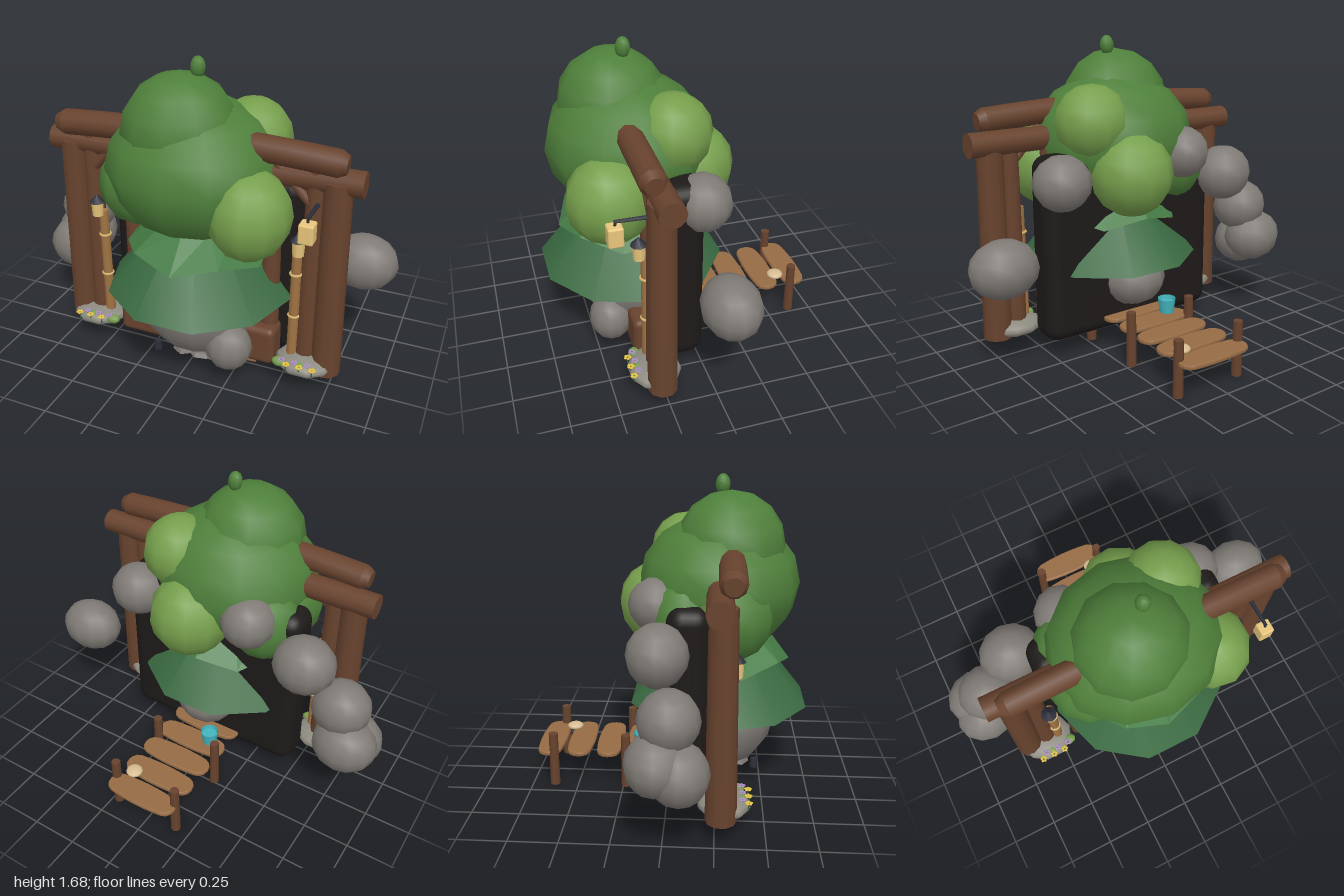
import * as THREE from 'three';
import { RoundedBoxGeometry } from 'three/addons/geometries/RoundedBoxGeometry.js';

const C = {
  wood: 0x68432e, plank: 0x966b45, bamboo: 0xa07444, ring: 0xd6b56f, rock: 0x7f7a75, paleRock: 0x8d8a80,
  dark: 0x1d1a18, leaf: 0x4f803b, lime: 0x769f4c, skirt: 0x3b6b42, collar: 0x467c46,
  glow: 0xe8c67c, iron: 0x2c2f3a, teal: 0x45b5c0, cream: 0xd8bd93, yellow: 0xe0c040, violet: 0xa58bb8,
};
const mats = {};
const mat = (name, flat = false) => (mats[name + flat] ??= new THREE.MeshStandardMaterial({
  color: C[name], flatShading: flat, side: THREE.DoubleSide }));
const CX = 0.025; // mirror axis of the frame

export function createModel() {
  const root = new THREE.Group();
  const add = (name, geo, color, pos = [0, 0, 0], flat = false) => {
    const m = new THREE.Mesh(geo, mat(color, flat));
    m.name = name;
    m.position.set(...pos);
    root.add(m);
    return m;
  };
  const blob = (name, color, pos, r, segs = 11) => {
    const m = add(name, new THREE.SphereGeometry(1, segs, 8), color, pos);
    m.scale.set(...r);
    return m;
  };
  // Tapered log between two points
  const log = (name, color, a, b, r0, r1 = r0, sides = 10) => {
    const A = new THREE.Vector3(...a), B = new THREE.Vector3(...b), d = B.clone().sub(A);
    const m = add(name, new THREE.CylinderGeometry(r1, r0, d.length(), sides), color,
      A.clone().add(B).multiplyScalar(0.5).toArray());
    m.quaternion.setFromUnitVectors(new THREE.Vector3(0, 1, 0), d.normalize());
    return m;
  };

  // Dark hollow behind the tree
  add('caveWall', new RoundedBoxGeometry(1.06, 1.0, 0.22, 3, 0.08), 'dark', [CX, 0.6, 0.11]);

  // Tree body: boulders, leafy skirts and crown
  blob('bodyBoulder', 'rock', [0.03, 0.385, 0.26], [0.335, 0.31, 0.31], 14);
  blob('rearBoulder', 'rock', [0.03, 0.38, 0.02], [0.18, 0.15, 0.18]);
  blob('footBoulder', 'rock', [0.255, 0.225, 0.43], [0.122, 0.128, 0.115]);

  const skirt = new THREE.ConeGeometry(0.49, 0.62, 10);
  skirt.rotateY(Math.PI / 2);
  add('leafSkirt', skirt, 'skirt', [0.03, 0.78, 0.26]);

  const collar = new THREE.CylinderGeometry(0.22, 0.38, 0.15, 10, 1);
  const p = collar.attributes.position;
  for (let i = 0; i < p.count; i++) {
    if (p.getY(i) > 0 || Math.hypot(p.getX(i), p.getZ(i)) < 0.1) continue;
    const k = Math.round(Math.atan2(p.getX(i), p.getZ(i)) / (Math.PI / 5));
    p.setY(i, p.getY(i) + (k % 2 ? 0.03 : -0.02));
  }
  add('leafCollar', collar, 'collar', [0.03, 0.79, 0.26], true);

  blob('crown', 'leaf', [0, 1.125, 0.255], [0.455, 0.365, 0.42], 12);
  blob('crownCap', 'leaf', [-0.05, 1.32, 0.31], [0.295, 0.285, 0.285], 11);
  blob('crownLobeLeft', 'lime', [0.352, 0.995, 0.425], [0.205, 0.225, 0.22]);
  blob('crownLobeRight', 'leaf', [-0.28, 1.01, 0.3], [0.21, 0.225, 0.23]);
  blob('crownLobeHigh', 'lime', [0.24, 1.25, 0.08], [0.2, 0.2, 0.2]);
  blob('crownLobeBack', 'lime', [0.09, 0.985, -0.06], [0.22, 0.225, 0.225]);
  blob('crownLobeBackRight', 'leaf', [-0.27, 0.99, 0.09], [0.2, 0.22, 0.19]);
  blob('crownBud', 'leaf', [0.025, 1.625, 0.265], [0.038, 0.053, 0.038], 8);

  // Boulders around the back
  [
    [0.82, 0.605, -0.03, 0.18, 0.148, 0.147], [0.47, 0.975, 0, 0.155, 0.145, 0.147],
    [-0.25, 1.06, -0.05, 0.145, 0.14, 0.15], [-0.565, 0.9, -0.03, 0.168, 0.155, 0.152],
    [-0.765, 0.66, 0.035, 0.16, 0.15, 0.15], [-0.825, 0.475, -0.02, 0.175, 0.15, 0.15],
    [-0.83, 0.43, 0.085, 0.165, 0.15, 0.145],
  ].forEach(([x, y, z, ...r]) => blob('backBoulder', 'rock', [x, y, z], r, 12));

  // Timber gate: beams, sill and mirrored posts
  log('lowerBeam', 'wood', [-0.8, 1.165, 0.26], [0.85, 1.165, 0.26], 0.065, 0.065, 12);
  const arch = new THREE.QuadraticBezierCurve3(new THREE.Vector3(-0.69, 1.275, 0.315),
    new THREE.Vector3(CX, 1.325, 0.315), new THREE.Vector3(0.735, 1.275, 0.315));
  add('upperBeam', new THREE.TubeGeometry(arch, 12, 0.066, 10), 'wood');
  for (const t of [0, 1]) {
    const s = t ? 1 : -1;
    const e = arch.getPoint(t);
    log('upperBeamEnd', 'wood', e.toArray(), [e.x + s * 0.04, e.y - 0.003, e.z], 0.066, 0.045);
  }
  add('sillLog', new RoundedBoxGeometry(0.89, 0.215, 0.15, 3, 0.035), 'wood', [CX, 0.205, 0.28]);

  for (const s of [-1, 1]) {
    const X = (d) => CX + s * d;
    log('outerPost', 'wood', [X(0.705), 0.11, 0.28], [X(0.705), 1.17, 0.275], 0.077, 0.068);
    log('secondPost', 'wood', [X(0.595), 0.12, 0.28], [X(0.6), 1.22, 0.27], 0.056, 0.046);
    log('innerPost', 'wood', [X(0.385), 0.15, 0.25], [X(0.385), 1.15, 0.25], 0.05, 0.045);
    log('brace', 'wood', [X(0.58), 1.04, 0.29], [X(0.41), 1.22, 0.29], 0.024, 0.024, 8);

    // Bamboo pole with rings
    log('bambooPole', 'bamboo', [X(0.53), 0.15, 0.31], [X(0.535), 0.8, 0.31], 0.028, 0.025, 8);
    for (const y of [0.42, 0.66]) {
      const ring = add('bambooRing', new THREE.TorusGeometry(0.028, 0.007, 6, 12), 'ring', [X(0.533), y, 0.31]);
      ring.rotation.x = Math.PI / 2;
    }
    // Lantern on the pole
    add('poleLantern', new THREE.CylinderGeometry(0.033, 0.029, 0.08, 8), 'glow', [X(0.548), 0.825, 0.345]);
    add('poleLanternRoof', new THREE.ConeGeometry(0.042, 0.045, 8), 'iron', [X(0.548), 0.885, 0.345]);

    // Footing stone with flowers and tufts
    blob('footingStone', 'paleRock', [X(0.6), 0.15, 0.295], [0.155, 0.052, 0.135], 10);
    for (let i = 0; i < 6; i++) {
      const fx = X(0.5 + 0.034 * i), fz = 0.385 + 0.03 * (i % 2);
      const bloom = i % 2 ? 'yellow' : 'violet';
      log('flowerStem', 'skirt', [fx, 0.15, fz], [fx, 0.185, fz], 0.004, 0.004, 5);
      for (let k = 0; k < 5; k++) {
        const a = k * Math.PI * 0.4;
        blob('petal', bloom, [fx + 0.012 * Math.cos(a), 0.187, fz + 0.012 * Math.sin(a)], [0.009, 0.005, 0.009], 6);
      }
    }
    blob('grassTuft', 'lime', [X(0.485), 0.16, 0.37], [0.04, 0.025, 0.03], 8);
    blob('grassTuft', 'lime', [X(0.6), 0.175, 0.38], [0.025, 0.016, 0.025], 8);
  }

  // Lantern hanging from a bracket on the left post
  log('lanternArm', 'iron', [0.645, 1.05, 0.28], [0.645, 1.055, 0.47], 0.012, 0.009, 6);
  log('lanternHook', 'iron', [0.645, 1.055, 0.465], [0.645, 1.02, 0.47], 0.007, 0.007, 6);
  add('hangingLantern', new RoundedBoxGeometry(0.073, 0.1, 0.073, 2, 0.01), 'glow', [0.645, 0.985, 0.47]);

  // Flat stones and threshold at the foot of the boulder
  for (let i = 0; i < 6; i++) {
    const slab = add('slab', new THREE.CylinderGeometry(0.06, 0.07, 0.022, 6), 'rock',
      [-0.06 + 0.045 * i, 0.1 + 0.012 * (i % 3), 0.31 + 0.06 * (i % 2)], true);
    slab.rotation.set(0.15 * (i % 3 - 1), i, 0.2 * (i % 2) - 0.1);
  }
  const threshold = add('threshold', new THREE.BoxGeometry(0.32, 0.016, 0.07), 'plank', [0.21, 0.085, 0.3]);
  threshold.rotation.z = 0.06;
  add('smallLamp', new THREE.CylinderGeometry(0.018, 0.022, 0.05, 6), 'iron', [-0.135, 0.145, 0.46]);

  // Walkway at the back: rounded planks on posts
  for (let i = 0; i < 5; i++) {
    const w = 0.21, h = 0.073, shape = new THREE.Shape();
    shape.moveTo(-w + 0.05, -h * 0.85);
    shape.quadraticCurveTo(0, -h * 1.15, w - 0.05, -h * 0.85);
    shape.bezierCurveTo(w + 0.015, -h * 0.7, w + 0.015, h * 0.7, w - 0.05, h * 0.85);
    shape.quadraticCurveTo(0, h * 1.15, -w + 0.05, h * 0.85);
    shape.bezierCurveTo(-w - 0.015, h * 0.7, -w - 0.015, -h * 0.7, -w + 0.05, -h * 0.85);
    const geo = new THREE.ExtrudeGeometry(shape, { depth: 0.01, bevelThickness: 0.008, bevelSize: 0.008,
      bevelOffset: -0.008, bevelSegments: 2, curveSegments: 6 });
    geo.rotateX(-Math.PI / 2);
    add('walkwayPlank', geo, 'plank', [CX, 0.178, -0.662 + 0.163 * i]);
  }
  for (const x of [-0.165, 0.215]) {
    for (const z of [-0.63, -0.235, 0.16]) {
      log('walkwayPost', 'wood', [x, 0, z], [x, 0.3, z], 0.027, 0.025, 8);
    }
  }

  // Bucket and bun left on the walkway
  add('bucket', new THREE.CylinderGeometry(0.05, 0.038, 0.08, 12, 1, true), 'teal', [-0.08, 0.24, -0.15]);
  add('bucketWater', new THREE.CylinderGeometry(0.044, 0.038, 0.055, 12), 'teal', [-0.08, 0.229, -0.15]);
  blob('bun', 'cream', [0.145, 0.208, -0.565], [0.046, 0.02, 0.046], 12);

  return root;
}
